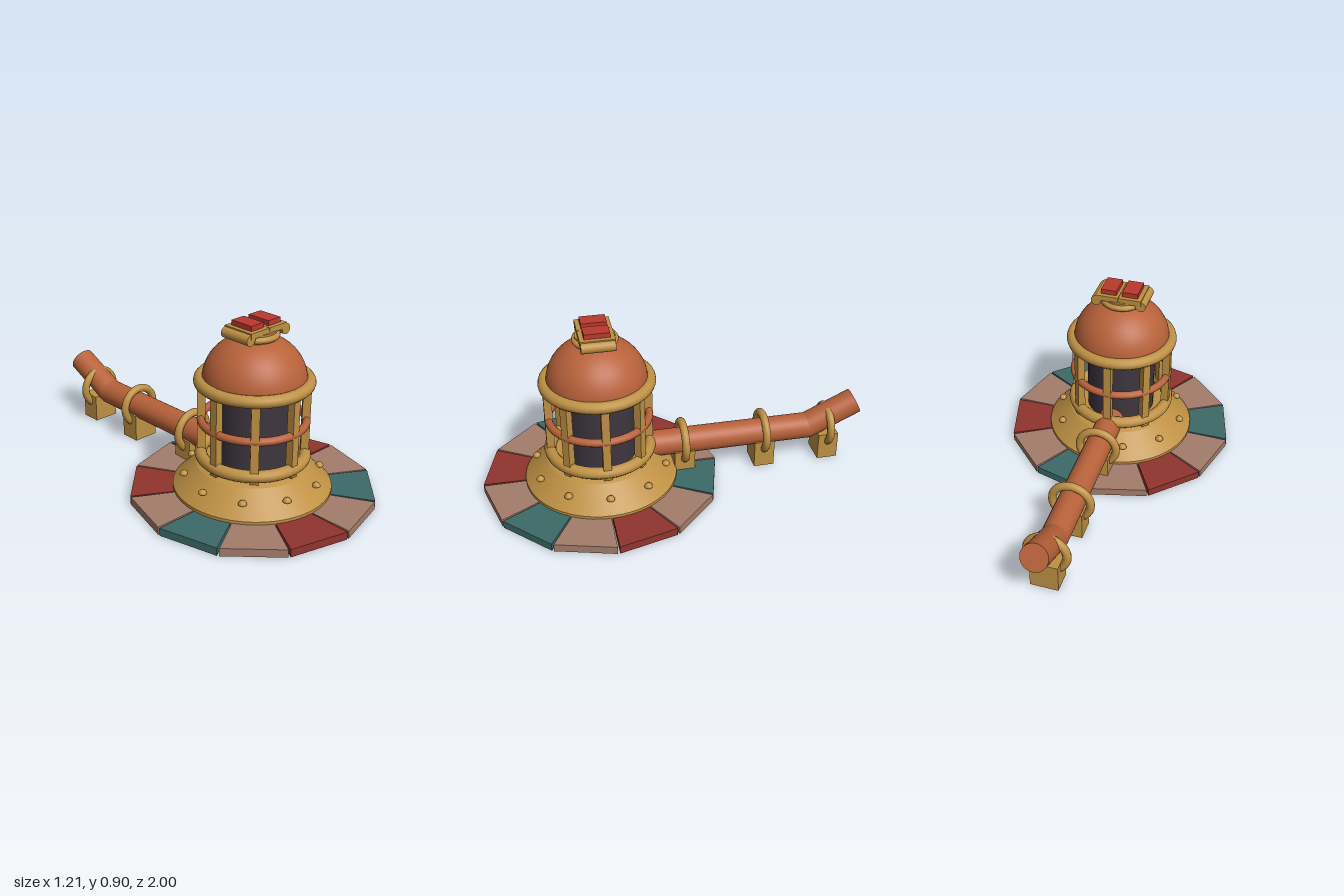
import * as THREE from 'three';
import { toCreasedNormals } from 'three/addons/utils/BufferGeometryUtils.js';

const CZ = 0.395; // z of the tower axis

function material(name, color) {
  const m = new THREE.MeshStandardMaterial({ color });
  m.name = name;
  return m;
}

export function createModel() {
  const gold = material('gold', 0xbf9144);
  const copper = material('copper', 0xb8623a);
  const dark = material('dark glass', 0x3e363f);
  const tan = material('tan tile', 0xa47d6b);
  const red = material('red tile', 0x91342e);
  const teal = material('teal tile', 0x3c6a67);
  const bright = material('button red', 0xbb382d);

  const model = new THREE.Group();
  const tower = new THREE.Group();
  tower.name = 'tower';
  tower.position.z = CZ;
  model.add(tower);

  function add(parent, name, geometry, mat, x = 0, y = 0, z = 0) {
    const mesh = new THREE.Mesh(geometry, mat);
    mesh.name = name;
    mesh.position.set(x, y, z);
    parent.add(mesh);
    return mesh;
  }
  const lathe = (points) => toCreasedNormals(
    new THREE.LatheGeometry(points.map(([r, y]) => new THREE.Vector2(r, y)), 48), 0.35);
  const ring = (R, tube) => new THREE.TorusGeometry(R, tube, 12, 40).rotateX(Math.PI / 2);

  // Twelve-sided floor of wedge tiles with thin gaps
  const pattern = [tan, teal, tan, red];
  for (let k = 0; k < 12; k++) {
    const a = THREE.MathUtils.degToRad(30 * k + 1);
    const b = THREE.MathUtils.degToRad(30 * k + 30);
    const shape = new THREE.Shape([[0.37, a], [0.605, a], [0.605, b], [0.37, b]].map(
      ([r, t]) => new THREE.Vector2(r * Math.cos(t), -r * Math.sin(t))));
    const tile = new THREE.ExtrudeGeometry(shape, { depth: 0.04, bevelEnabled: false });
    add(tower, 'floorTile', tile.rotateX(-Math.PI / 2), pattern[k % 4]);
  }

  // Flared base with rivets
  add(tower, 'base', lathe([[0, 0], [0.385, 0], [0.39, 0.04], [0.39, 0.055],
    [0.275, 0.165], [0.245, 0.178], [0, 0.18]]), gold);
  const rivet = new THREE.SphereGeometry(0.021, 14, 7, 0, Math.PI * 2, 0, Math.PI / 2);
  for (let i = 0; i < 10; i++) {
    const a = (i * Math.PI) / 5;
    add(tower, 'rivet', rivet, gold, 0.337 * Math.cos(a), 0.114, 0.337 * Math.sin(a));
  }

  // Cage: core, posts and rings
  add(tower, 'core', new THREE.CylinderGeometry(0.18, 0.18, 0.42, 32), dark, 0, 0.385, 0);
  const post = new THREE.BoxGeometry(0.04, 0.41, 0.04);
  for (let i = 0; i < 8; i++) {
    const a = (i * Math.PI) / 4;
    const p = add(tower, 'cagePost', post, gold, 0.25 * Math.cos(a), 0.385, 0.25 * Math.sin(a));
    p.rotation.y = -a;
  }
  add(tower, 'lowerRing', ring(0.253, 0.03), gold, 0, 0.215, 0);
  add(tower, 'middleRing', ring(0.253, 0.02), copper, 0, 0.394, 0);
  add(tower, 'upperRing', ring(0.26, 0.03), gold, 0, 0.596, 0);

  // Dome, closed underneath
  const dome = [[0, 0.585], [0.25, 0.585]];
  for (let i = 0; i <= 16; i++) {
    const t = (i / 16) * Math.PI / 2;
    dome.push([i === 16 ? 0 : 0.25 * Math.cos(t), 0.6 + 0.225 * Math.sin(t)]);
  }
  add(tower, 'dome', lathe(dome), copper);

  // Crown: collar, side rolls, split plate and buttons
  add(tower, 'collar', ring(0.098, 0.016), gold, 0, 0.826, 0);
  add(tower, 'neck', new THREE.CylinderGeometry(0.098, 0.098, 0.05, 32), gold, 0, 0.826, 0);
  const roll = new THREE.CylinderGeometry(0.027, 0.027, 0.165, 20).rotateX(Math.PI / 2);
  for (const s of [-1, 1]) {
    add(tower, 'crownRoll', roll, gold, s * 0.117, 0.842, 0);
    add(tower, 'crownPlate', new THREE.BoxGeometry(0.118, 0.028, 0.17), gold, s * 0.06, 0.861, 0);
    add(tower, 'crownButton', new THREE.BoxGeometry(0.081, 0.026, 0.125), bright, s * 0.056, 0.887, 0);
  }

  // Bent pipe running out of the back
  function pipe(from, to) {
    const d = to.clone().sub(from);
    const p = add(model, 'pipe', new THREE.CylinderGeometry(0.068, 0.068, d.length(), 32), copper);
    p.position.copy(from).addScaledVector(d, 0.5);
    p.quaternion.setFromUnitVectors(new THREE.Vector3(0, 1, 0), d.normalize());
  }
  const elbow = new THREE.Vector3(0, 0.178, -0.712);
  pipe(new THREE.Vector3(0, 0.178, 0.22), elbow);
  pipe(elbow, new THREE.Vector3(0, 0.3, -0.968));
  add(model, 'pipeElbow', new THREE.SphereGeometry(0.068, 32, 16), copper, 0, elbow.y, elbow.z);

  // Hanging blocks with loops around the pipe
  for (const z of [-0.034, -0.463, -0.815]) {
    add(model, 'pipeLoop', new THREE.TorusGeometry(0.098, 0.021, 12, 32), gold, 0, 0.178, z);
    add(model, 'pipeBlock', new THREE.BoxGeometry(0.14, 0.145, 0.107), gold, 0, 0.0735, z);
  }
  return model;
}
